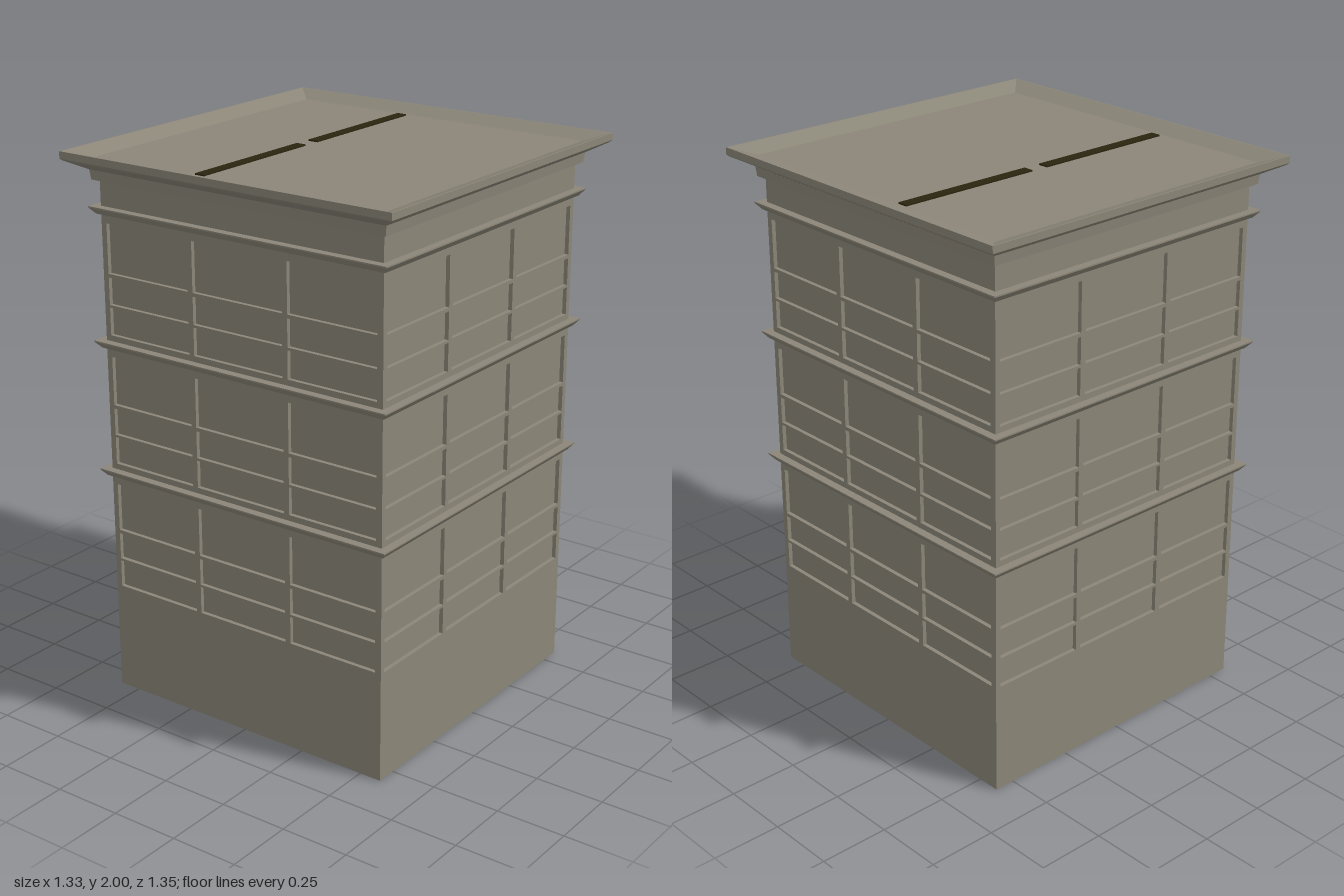
import * as THREE from 'three';

const HX = 0.575, HZ = 0.582; // half width and half depth of the tower
const RECESS = 0.015;

const stone = new THREE.MeshStandardMaterial({ color: 0x8b8678 });
stone.name = 'stone';
const darkMetal = new THREE.MeshStandardMaterial({ color: 0x29250f });
darkMetal.name = 'darkMetal';
const redBrown = new THREE.MeshStandardMaterial({ color: 0x7a3d2a });
redBrown.name = 'redBrown';

// Rectangular rings stacked bottom to top; each ring is [overhang, y]
function ringLoft(rings, capBottom = true, capTop = true) {
  const pos = [];
  const corners = ([o, y]) => [
    [-HX - o, y, HZ + o], [HX + o, y, HZ + o], [HX + o, y, -HZ - o], [-HX - o, y, -HZ - o],
  ];
  const quad = (a, b, c, d) => pos.push(...a, ...b, ...c, ...a, ...c, ...d);
  for (let i = 0; i < rings.length - 1; i++) {
    const lo = corners(rings[i]), hi = corners(rings[i + 1]);
    for (let k = 0; k < 4; k++) {
      const n = (k + 1) % 4;
      quad(lo[k], lo[n], hi[n], hi[k]);
    }
  }
  const b = corners(rings[0]), t = corners(rings[rings.length - 1]);
  if (capBottom) quad(b[3], b[2], b[1], b[0]);
  if (capTop) quad(t[0], t[1], t[2], t[3]);
  const geo = new THREE.BufferGeometry();
  geo.setAttribute('position', new THREE.Float32BufferAttribute(pos, 3));
  geo.computeVertexNormals();
  return geo;
}

function rectPath(path, x0, x1, y0, y1) {
  path.moveTo(x0, y0);
  path.lineTo(x1, y0);
  path.lineTo(x1, y1);
  path.lineTo(x0, y1);
  path.closePath();
  return path;
}

// One wall with three storeys of window openings, three columns by three rows
function facadeGeometry(half, scale) {
  const shape = rectPath(new THREE.Shape(), -half, half, 0.39, 1.9);
  const columns = [[-0.556, -0.207], [-0.186, 0.184], [0.205, 0.554]];
  const rows = [[0.402, 0.502], [0.511, 0.609], [0.622, 0.799]];
  for (let storey = 0; storey < 3; storey++) {
    for (const [x0, x1] of columns) {
      for (const [y0, y1] of rows) {
        const lift = storey * 0.476;
        shape.holes.push(rectPath(new THREE.Path(), x0 * scale, x1 * scale, y0 + lift, y1 + lift));
      }
    }
  }
  return new THREE.ExtrudeGeometry(shape, { depth: RECESS, bevelEnabled: false });
}

export function createModel() {
  const model = new THREE.Group();
  model.name = 'tower';
  const add = (name, geo, material, x = 0, y = 0, z = 0) => {
    const mesh = new THREE.Mesh(geo, material);
    mesh.name = name;
    mesh.position.set(x, y, z);
    model.add(mesh);
    return mesh;
  };

  // Plain ground storey and the core behind the window openings
  add('base', ringLoft([[0, 0], [0, 0.39]]), stone);
  add('windowPanels', ringLoft([[-RECESS, 0.39], [-RECESS, 1.9]], false, false), stone);

  // Four walls with openings
  const wide = facadeGeometry(HX, 1);
  const deep = facadeGeometry(HZ - RECESS, 1.008);
  add('frontFacade', wide, stone, 0, 0, HZ - RECESS);
  add('backFacade', wide, stone, 0, 0, -HZ + RECESS).rotation.y = Math.PI;
  add('leftFacade', deep, stone, HX - RECESS, 0, 0).rotation.y = Math.PI / 2;
  add('rightFacade', deep, stone, -HX + RECESS, 0, 0).rotation.y = -Math.PI / 2;

  // Ledge above each storey
  const ledge = ringLoft([[0.012, 0], [0.03, 0.022], [0.03, 0.027], [-0.005, 0.027]]);
  for (let i = 0; i < 3; i++) add('ledge', ledge, stone, 0, 0.83 + i * 0.476, 0);

  // Cornice band, flared eaves and shallow dished roof
  add('cornice', ringLoft([[0.02, 1.9], [0.024, 1.937]]), stone);
  add('roof', ringLoft([
    [0.024, 1.935], [0.085, 1.968], [0.092, 1.975], [0.092, 2], [0.087, 2], [0.015, 1.975],
  ]), stone);

  // Two thin bars lying across the roof
  for (const side of [-1, 1]) {
    add('roofBar', new THREE.BoxGeometry(0.54, 0.008, 0.038), darkMetal, side * 0.303, 1.976, -0.146);
  }

  // Painted strip under the eaves on the left side
  const strip = new THREE.BufferGeometry();
  const inX = HX + 0.026, outX = HX + 0.084, inY = 1.934, outY = 1.9655;
  strip.setAttribute('position', new THREE.Float32BufferAttribute([
    inX, inY, 0.5, inX, inY, -0.605, outX, outY, -0.66, outX, outY, 0.5,
  ], 3));
  strip.setIndex([0, 1, 2, 0, 2, 3]);
  strip.computeVertexNormals();
  add('eavesStrip', strip, redBrown);

  return model;
}
